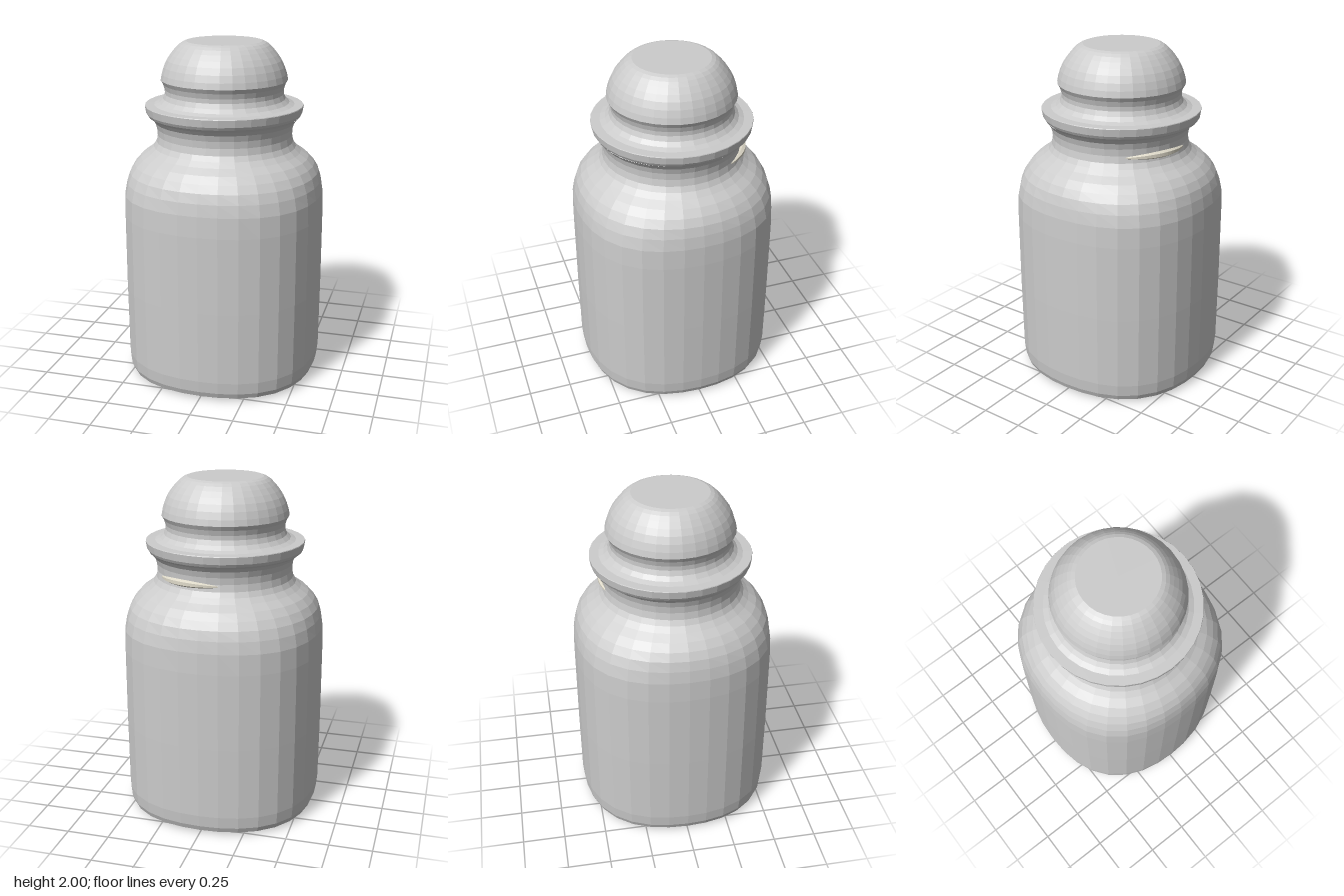
import * as THREE from 'three';

const SIDES = 32;

function lathe(name, profile) {
  const geometry = new THREE.LatheGeometry(profile.map(([r, y]) => new THREE.Vector2(r, y)), SIDES);
  const material = new THREE.MeshStandardMaterial({ color: 0xcccccc, flatShading: true });
  const mesh = new THREE.Mesh(geometry, material);
  mesh.name = name;
  return mesh;
}

// Pushes the four diagonals outward, fading to a round section at the neck
function squareOff(geometry) {
  const p = geometry.attributes.position;
  for (let i = 0; i < p.count; i++) {
    const x = p.getX(i), z = p.getZ(i);
    const fade = 1 - THREE.MathUtils.smoothstep(p.getY(i), 1.1, 1.42);
    const k = 1 + 0.052 * fade * Math.sin(2 * Math.atan2(z, x)) ** 2;
    p.setX(i, x * k);
    p.setZ(i, z * k);
  }
  geometry.computeVertexNormals();
}

// Slim cord that rises out of the back of the neck and tapers at both ends
function makeCord() {
  const steps = 20, start = -0.58, end = -1.85;
  const centre = (t) => {
    const a = start + (end - start) * t;
    const r = 0.385 + 0.027 * Math.sin(Math.PI * t);
    return new THREE.Vector3(r * Math.cos(a), 1.445 + 0.012 * Math.sin(Math.PI * t), r * Math.sin(a));
  };
  const curve = new THREE.CatmullRomCurve3(Array.from({ length: 9 }, (_, i) => centre(i / 8)));
  const geometry = new THREE.TubeGeometry(curve, steps, 0.02, 6);
  const p = geometry.attributes.position, v = new THREE.Vector3();
  for (let i = 0; i < p.count; i++) {
    const t = Math.floor(i / 7) / steps;
    const c = curve.getPointAt(t);
    v.fromBufferAttribute(p, i).sub(c).multiplyScalar(Math.sin(Math.PI * t)).add(c);
    p.setXYZ(i, v.x, v.y, v.z);
  }
  geometry.computeVertexNormals();
  const mesh = new THREE.Mesh(geometry, new THREE.MeshStandardMaterial({ color: 0xddd8c8, flatShading: true }));
  mesh.name = 'neckCord';
  return mesh;
}

export function createModel() {
  const group = new THREE.Group();
  group.name = 'jar';

  // Body: rounded-square base and wall, shoulder and neck
  const body = lathe('body', [
    [0, 0], [0.54, 0.005], [0.562, 0.018], [0.575, 0.05], [0.582, 0.12],
    [0.585, 0.55], [0.584, 1.0], [0.58, 1.12], [0.57, 1.19], [0.555, 1.245],
    [0.53, 1.29], [0.495, 1.33], [0.45, 1.362], [0.42, 1.39], [0.403, 1.42],
    [0.396, 1.46], [0.399, 1.5], [0.41, 1.535], [0.428, 1.558], [0.44, 1.57],
  ]);
  squareOff(body.geometry);

  // Collar: flared lip with the waist of the stopper rising from it
  const collar = lathe('collar', [
    [0.43, 1.56], [0.447, 1.573], [0.457, 1.59], [0.464, 1.632], [0.462, 1.636],
    [0.41, 1.638], [0.38, 1.65], [0.358, 1.672], [0.347, 1.7], [0.347, 1.725],
    [0.356, 1.755], [0.37, 1.78],
  ]);

  // Stopper: flat-topped dome
  const stopper = lathe('stopper', [
    [0.35, 1.778], [0.37, 1.78], [0.363, 1.815], [0.35, 1.855], [0.332, 1.893],
    [0.31, 1.925], [0.285, 1.955], [0.262, 1.978], [0.242, 1.992], [0.22, 2.0], [0, 2.0],
  ]);
  for (const part of [collar, stopper]) part.position.set(-0.005, 0, -0.005);

  group.add(body, collar, stopper, makeCord());
  return group;
}
